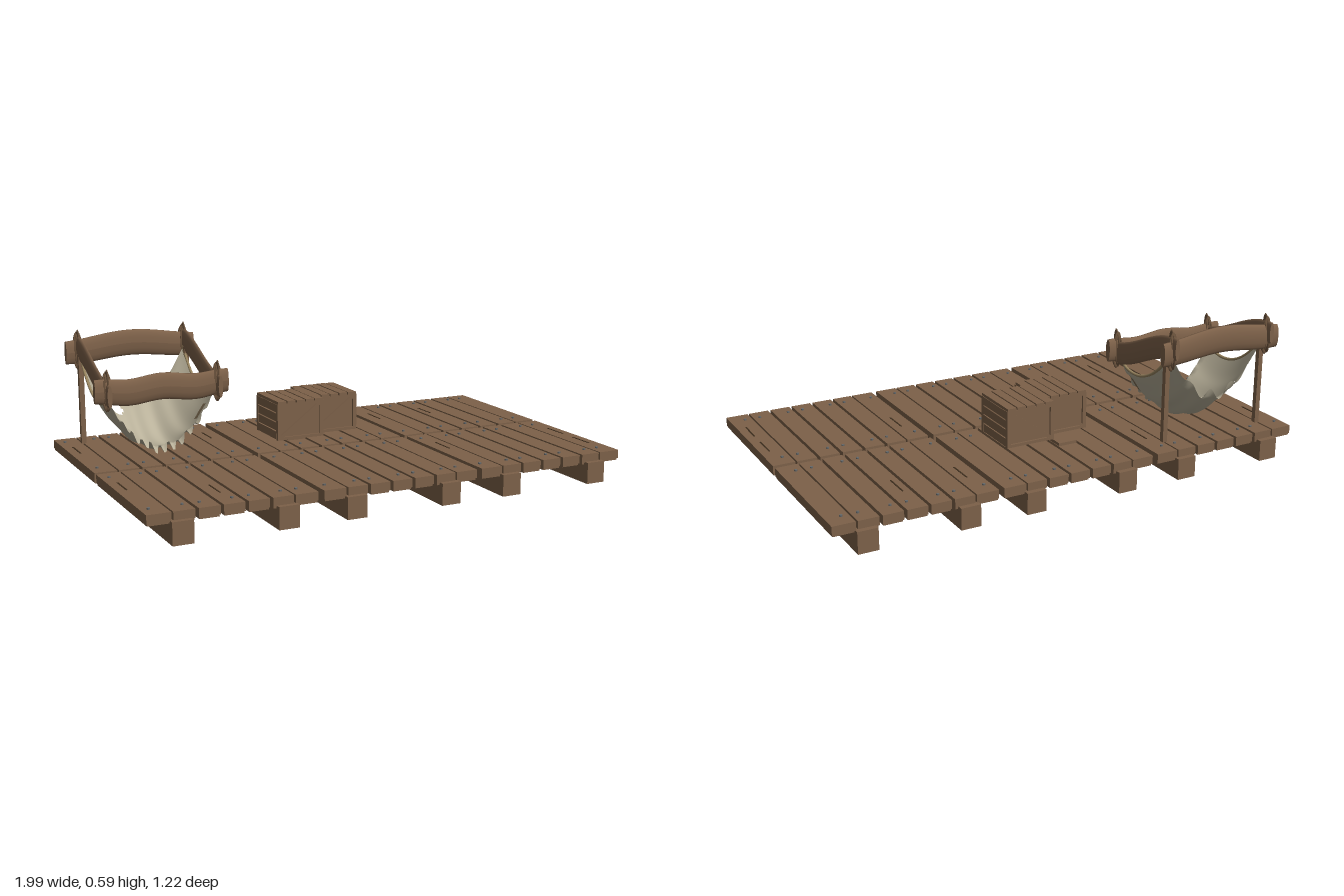
import * as THREE from 'three';

const mat = (name, color, side = THREE.FrontSide) => {
  const m = new THREE.MeshStandardMaterial({ color, side });
  m.name = name;
  return m;
};

export function createModel() {
  const root = new THREE.Group();
  root.name = 'raftWithRainCatcher';
  const wood = mat('wood', 0x7d6149);
  const lashing = mat('lashing', 0x6f563f);
  const cloth = mat('cloth', 0xb9b19a, THREE.DoubleSide);
  const hem = mat('hem', 0x9c8862);
  const patchBrown = mat('patchBrown', 0x7c6a50, THREE.DoubleSide);
  const iron = mat('iron', 0x66696a);
  const crack = mat('crack', 0x40301f);

  const add = (parent, name, geo, material, x = 0, y = 0, z = 0) => {
    const m = new THREE.Mesh(geo, material);
    m.name = name;
    m.position.set(x, y, z);
    parent.add(m);
    return m;
  };
  const box = (parent, name, w, h, d, x, y, z, material = wood) =>
    add(parent, name, new THREE.BoxGeometry(w, h, d), material, x, y, z);
  const group = (name) => {
    const g = new THREE.Group();
    g.name = name;
    root.add(g);
    return g;
  };

  // Deck: three sections, each with two long beams and two rows of planks
  const deck = group('deck');
  const nailGeo = new THREE.CylinderGeometry(0.006, 0.006, 0.008, 6);
  for (const cx of [-0.673, 0, 0.672]) {
    for (const s of [-1, 1]) box(deck, 'beam', 0.08, 0.086, 1.22, cx + s * 0.2, 0.043, 0);
    for (const s of [-1, 1]) {
      for (let i = 0; i < 7; i++) {
        const edge = i === 0 || i === 6;
        const x = cx + (i - 3) * 0.0935 - (edge ? Math.sign(i - 3) * 0.001 : 0);
        box(deck, 'plank', edge ? 0.09 : 0.081, 0.034, 0.578, x, 0.1, s * 0.3);
        box(deck, 'plankUnderside', edge ? 0.084 : 0.075, 0.009, 0.57, x, 0.08, s * 0.3);
        for (const z of [0.075, 0.525]) add(deck, 'nail', nailGeo, iron, x + (i % 2 ? 0.015 : -0.015), 0.119, s * z);
      }
    }
  }
  const cracks = [[-0.96, -0.38], [-0.96, 0.21], [-0.67, 0.39], [-0.4, -0.38], [0.4, -0.38],
    [0.4, 0.21], [0.66, -0.38], [0.96, 0.21], [0.96, 0.39]];
  for (const [x, z] of cracks) box(deck, 'crack', 0.006, 0.002, 0.11, x, 0.1175, z, crack);

  // Two crates side by side, with slatted lids and braced fronts
  const crate = (x, z) => {
    const g = group('crate');
    g.position.set(x, 0.145, z);
    const w = 0.207, d = 0.215, h = 0.15;
    box(g, 'crateBody', w - 0.016, h, d - 0.016, 0, h / 2, 0);
    for (let i = 0; i < 5; i++) {
      const sw = w / 5;
      box(g, 'lidSlat', sw - 0.005, 0.012 + (i % 2) * 0.002, d, (i - 2) * sw, h + 0.004, 0);
    }
    for (const s of [-1, 1]) {
      for (const t of [-1, 1]) box(g, 'cornerPost', 0.016, h, 0.016, s * (w / 2 - 0.008), h / 2, t * (d / 2 - 0.008));
      for (const y of [0.006, h - 0.006]) box(g, 'frameRail', w, 0.012, 0.012, 0, y, s * (d / 2 - 0.006));
      const brace = box(g, 'brace', Math.hypot(w - 0.03, h - 0.02), 0.014, 0.01, 0, h / 2, s * (d / 2 - 0.006));
      brace.rotation.z = Math.atan2(h - 0.02, w - 0.03);
      for (let i = 0; i < 4; i++) box(g, 'sideSlat', 0.012, 0.033, d - 0.036, s * (w / 2 - 0.006), 0.019 + i * 0.0375, 0);
    }
  };
  crate(-0.113, -0.165);
  crate(0.063, -0.2125);
  box(root, 'looseBoard', 0.08, 0.012, 0.2, -0.093, 0.125, -0.24);

  // Rain catcher frame: bowed rails, elliptical in section
  const catcher = group('rainCatcher');
  const rail = (name, length, halfH, halfT, alongX, rise) => {
    const geo = new THREE.CylinderGeometry(1, 1, 1, 14, 20);
    const p = geo.attributes.position;
    for (let i = 0; i < p.count; i++) {
      const a = p.getX(i), t = p.getY(i), b = p.getZ(i);
      const taper = 1 - 0.12 * Math.pow(2 * Math.abs(t), 3);
      const y = a * halfH * taper + rise(t);
      if (alongX) p.setXYZ(i, t * length, y, -b * halfT * taper * -1);
      else p.setXYZ(i, b * halfT * taper, y, t * length);
    }
    // A swapped axis pair mirrors the surface, so the corner order is turned back
    if (alongX) {
      const idx = geo.index.array;
      for (let i = 0; i < idx.length; i += 3) [idx[i + 1], idx[i + 2]] = [idx[i + 2], idx[i + 1]];
    }
    // x and y exchange places along x only; keep the winding outward in both cases
    else {
      const idx = geo.index.array;
      for (let i = 0; i < idx.length; i += 3) [idx[i], idx[i]] = [idx[i], idx[i]];
    }
    geo.computeVertexNormals();
    return add(catcher, name, geo, wood);
  };
  const wave = (t) => 0.007 * Math.cos(t * Math.PI * 4);
  rail('frontRail', 0.55, 0.054, 0.017, true, wave).position.set(-0.675, 0.394, -0.137);
  rail('backRail', 0.55, 0.054, 0.017, true, (t) => 0.012 * Math.cos(t * Math.PI * 2)).position.set(-0.675, 0.503, -0.522);
  // Side rails climb to the back in a gentle S
  const climb = (t) => -0.066 * Math.sin(Math.PI * t);
  const left = -0.9, right = -0.445;
  for (const x of [left, right]) {
    const r = rail('sideRail', 0.46, 0.05, 0.011, false, climb);
    r.position.set(x, 0.449, -0.325);
    box(catcher, 'post', 0.02, 0.37, 0.02, x, 0.3, -0.487);
    // Tall loops tying the corners together
    for (const [y, z] of [[0.4, -0.137], [0.5, -0.52]]) {
      [-0.8, 0, 0.8, 1.57].forEach((turn, i) => {
        const loop = add(catcher, 'cornerLashing', new THREE.TorusGeometry(1, 0.22, 6, 18), lashing, x, y + (i - 1.5) * 0.005, z);
        loop.scale.set(0.018, 0.058 + (i % 2) * 0.008, 0.018);
        loop.rotation.set((i - 1.5) * 0.08, turn, 0);
      });
    }
  }

  // Sagging cloth: u runs -1..1 across, v runs 0..1 front to back
  const sheet = (u, v, lift = 0) => new THREE.Vector3(
    -0.6725 + u * 0.222,
    0.36 - 0.2 * v + 0.32 * v * v - 0.2 * (1 - u * u)
      + 0.006 * Math.sin(u * 17) * (1 - u * u) + lift,
    -0.15 - 0.355 * v);
  const patchGeo = (u0, u1, v0, v1, nu, nv, lift, shape, keep) => {
    const pos = [], idx = [];
    for (let j = 0; j <= nv; j++) for (let i = 0; i <= nu; i++) {
      const u = u0 + (u1 - u0) * i / nu, v = v0 + (v1 - v0) * j / nv;
      const q = sheet(u, v, lift);
      if (shape) shape(q, u, i, j);
      pos.push(q.x, q.y, q.z);
    }
    for (let j = 0; j < nv; j++) for (let i = 0; i < nu; i++) {
      if (keep && !keep(u0 + (u1 - u0) * (i + 0.5) / nu, v0 + (v1 - v0) * (j + 0.5) / nv)) continue;
      const a = j * (nu + 1) + i, b = a + 1, c = a + nu + 1, d = c + 1;
      idx.push(a, b, c, b, d, c);
    }
    const geo = new THREE.BufferGeometry();
    geo.setAttribute('position', new THREE.Float32BufferAttribute(pos, 3));
    geo.setIndex(idx);
    geo.computeVertexNormals();
    return geo;
  };
  // Torn front and back edges and a hole near the back
  const tear = (q, u, i, j) => {
    const fade = 1 - u * u;
    if (j === 0) {
      q.y -= (i % 4 < 2 ? 0.03 : 0) * fade;
      q.z += (i % 4 < 2 ? 0.012 : -0.008) * fade;
    }
    if (j === 30) q.y += 0.02 * Math.sin(u * 14) * fade;
  };
  const hole = (u, v) => Math.hypot((u + 0.44) / 0.13, (v - 0.86) / 0.075) > 1;
  add(catcher, 'clothSheet', patchGeo(-1, 1, 0, 1, 48, 30, 0, tear, hole), cloth);
  for (const lift of [0.004, -0.004]) {
    add(catcher, 'clothPatch', patchGeo(0.7, 0.88, 0.08, 0.18, 4, 4, lift), patchBrown);
  }
  for (const u of [-1, 1]) {
    const pts = [0, 0.2, 0.4, 0.6, 0.8, 1].map((v) => sheet(u, v));
    add(catcher, 'clothHem', new THREE.TubeGeometry(new THREE.CatmullRomCurve3(pts), 20, 0.006, 6), hem);
    // Short cords from the sheet corners up to the rails
    for (const v of [0, 1]) {
      const p = sheet(u, v);
      const end = new THREE.Vector3(u < 0 ? left : right, p.y + 0.035, v ? -0.515 : -0.14);
      add(catcher, 'tieCord', new THREE.TubeGeometry(new THREE.LineCurve3(p, end), 1, 0.006, 6), hem);
    }
  }
  return root;
}
